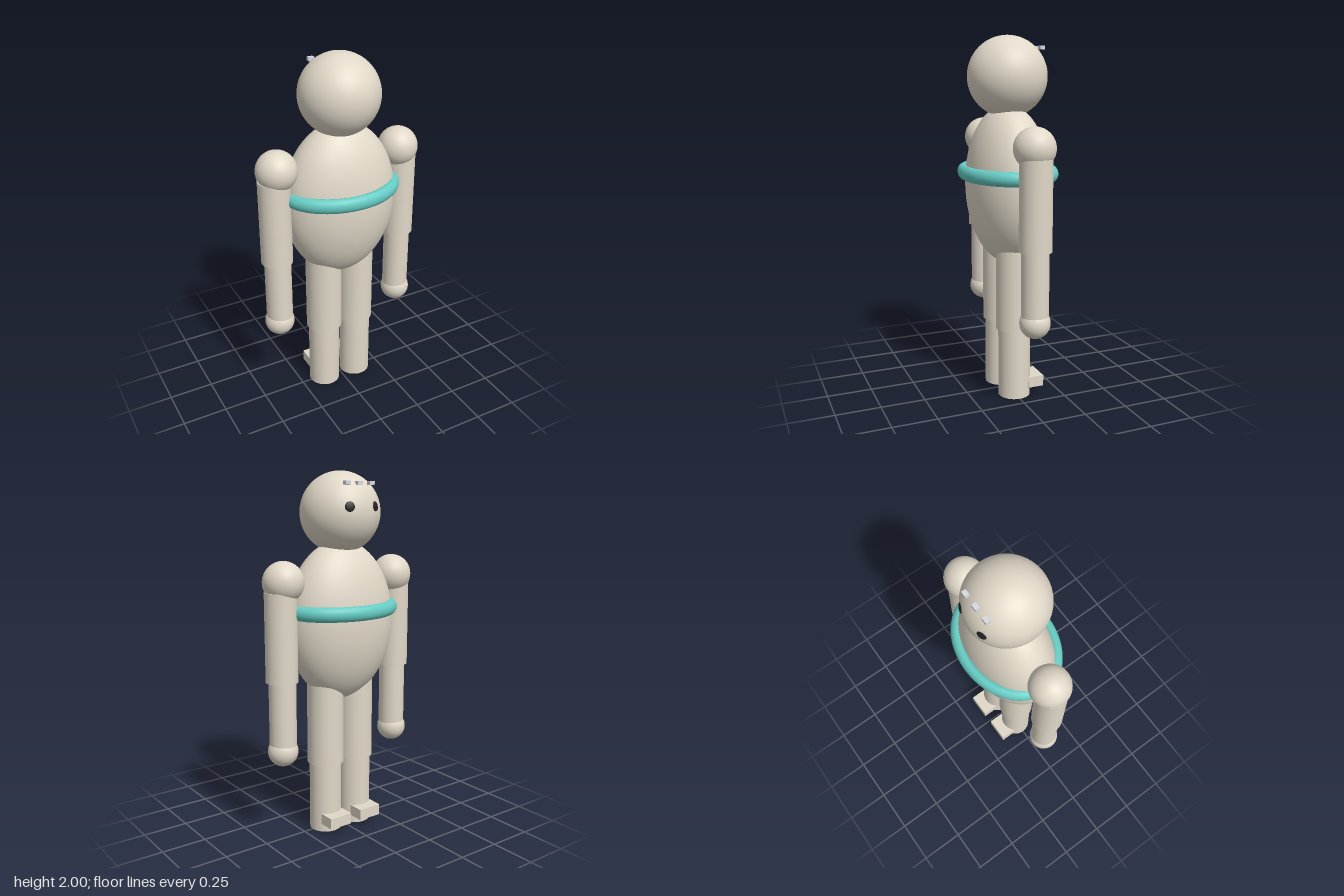
import * as THREE from 'three';

const skin = new THREE.MeshStandardMaterial({ color: 0xe0d8c8 });
const teal = new THREE.MeshStandardMaterial({ color: 0x66ccc4 });
const dark = new THREE.MeshStandardMaterial({ color: 0x222222 });
const pale = new THREE.MeshStandardMaterial({ color: 0xd8d8e0 });

function add(parent, name, geometry, material, x, y, z) {
  const mesh = new THREE.Mesh(geometry, material);
  mesh.name = name;
  mesh.position.set(x, y, z);
  parent.add(mesh);
  return mesh;
}

const ball = (r) => new THREE.SphereGeometry(r, 48, 32);

// Upright cylinder between two heights
function post(parent, name, r, y0, y1, x) {
  return add(parent, name, new THREE.CylinderGeometry(r, r, y1 - y0, 48), skin, x, (y0 + y1) / 2, 0);
}

export function createModel() {
  const model = new THREE.Group();
  model.name = 'figure';

  // Egg-shaped torso, head and the ring around the chest
  add(model, 'torso', ball(1), skin, 0, 1.195, 0).scale.set(0.325, 0.44, 0.22);
  add(model, 'head', ball(0.218), skin, 0, 1.782, 0);
  const ring = new THREE.TorusGeometry(0.305, 0.04, 24, 96).rotateX(Math.PI / 2);
  add(model, 'chestRing', ring, teal, 0, 1.265, 0).scale.z = 0.768;

  for (const side of [1, -1]) {
    const label = side > 0 ? 'left' : 'right';

    // Arm
    const arm = new THREE.Group();
    arm.name = label + 'Arm';
    add(arm, 'shoulder', ball(0.111), skin, side * 0.366, 1.43, 0);
    post(arm, 'upperArm', 0.087, 0.9, 1.38, side * 0.384);
    post(arm, 'forearm', 0.074, 0.51, 0.9, side * 0.382);
    add(arm, 'hand', ball(0.083), skin, side * 0.384, 0.513, 0);

    // Leg, with the foot pointing to -z
    const leg = new THREE.Group();
    leg.name = label + 'Leg';
    post(leg, 'thigh', 0.102, 0.395, 0.9, side * 0.102);
    post(leg, 'shin', 0.09, 0, 0.395, side * 0.103);
    add(leg, 'foot', new THREE.BoxGeometry(0.14, 0.062, 0.093), skin, side * 0.103, 0.078, -0.105);
    model.add(arm, leg);

    // Flattened eye lying on the head
    const eye = add(model, label + 'Eye', ball(0.026), dark, side * 0.083, 1.815, -0.197);
    eye.scale.z = 0.25;
    eye.lookAt(side * 0.166, 1.848, -0.394);
  }

  // Row of small blocks on the brow
  for (const x of [-0.078, 0, 0.078]) {
    add(model, 'browBlock', new THREE.BoxGeometry(0.033, 0.02, 0.024), pale, x, 1.934, -0.165);
  }
  return model;
}
